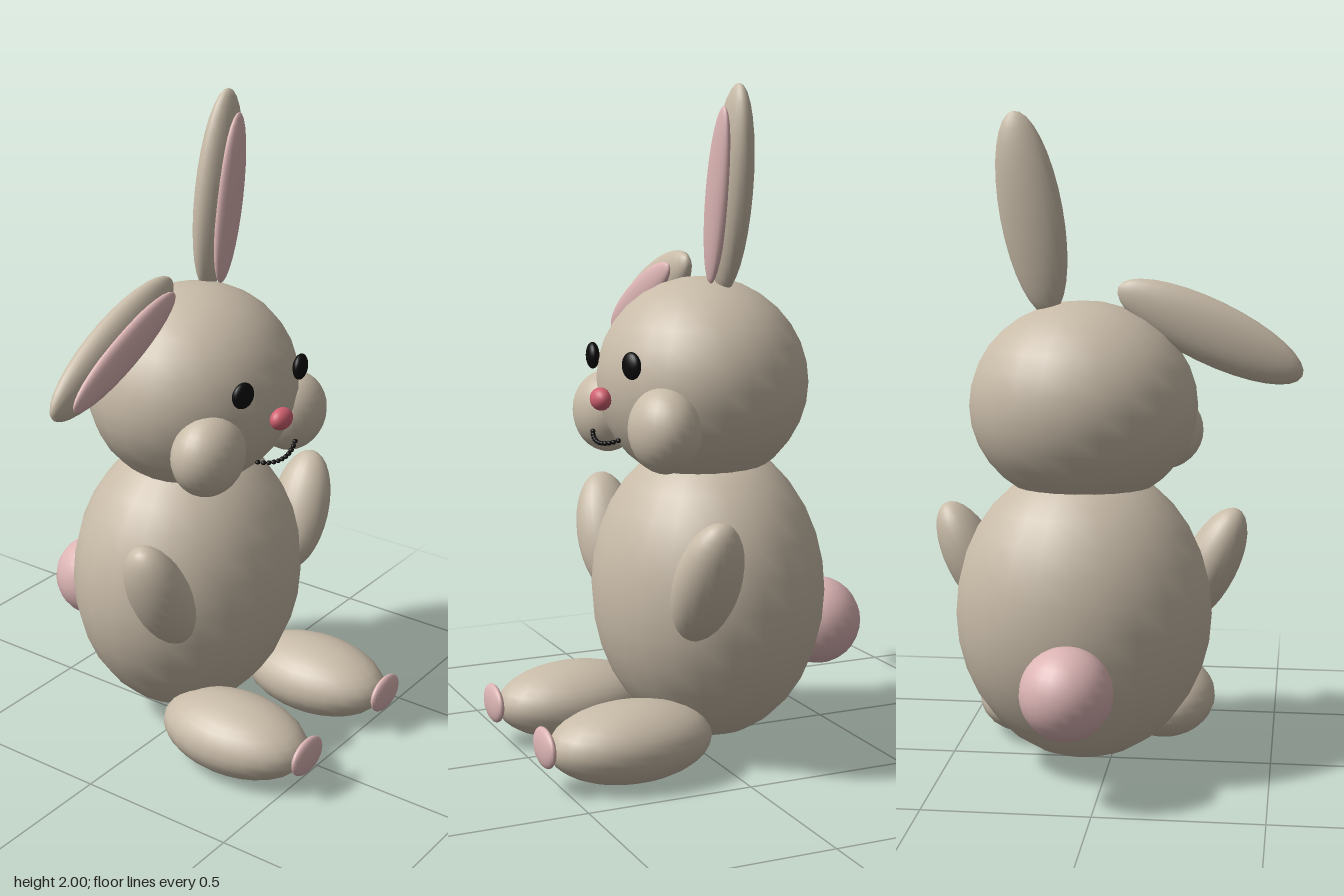
import * as THREE from 'three';

const mat = (name, color) => {
  const m = new THREE.MeshStandardMaterial({ color });
  m.name = name;
  return m;
};

export function createModel() {
  const fur = mat('fur', 0xc8bba8);
  const pink = mat('pink', 0xdcb4b4);
  const red = mat('noseRed', 0xcf6070);
  const black = mat('black', 0x0a0a0a);

  const model = new THREE.Group();
  model.name = 'rabbit';
  const MID = 0.077; // the body's own plane of symmetry
  const sphere = new THREE.SphereGeometry(1, 24, 16);
  const small = new THREE.SphereGeometry(1, 8, 6);

  // Ellipsoid with centre, radii and rotation
  const blob = (name, material, pos, radii, rot = [0, 0, 0], geo = sphere) => {
    const m = new THREE.Mesh(geo, material);
    m.name = name;
    m.position.set(...pos);
    m.scale.set(...radii);
    m.rotation.set(...rot);
    model.add(m);
    return m;
  };

  // Torso, head and tail
  blob('body', fur, [MID, 0.495, -0.057], [0.393, 0.46, 0.348]);
  blob('head', fur, [MID + 0.002, 1.13, -0.037], [0.347, 0.312, 0.312]);
  blob('tail', pink, [MID + 0.002, 0.347, -0.44], [0.137, 0.137, 0.137]);

  // Ears: one upright, one flopped to the side
  const ear = (name, x, y, z, tilt, innerY) => {
    blob(name, fur, [x, y, z], [0.095, 0.304, 0.052], [0, 0, tilt]);
    blob(name + 'Inner', pink, [x, innerY, z + 0.045], [0.06, 0.258, 0.025], [0, 0, tilt]);
  };
  ear('leftEar', 0.23, 1.7, -0.06, -0.175, 1.68);
  ear('rightEar', -0.302, 1.354, -0.042, -1.13, 1.352);

  // Paired parts
  for (const [side, s] of [['left', 1], ['right', -1]]) {
    blob(side + 'Cheek', fur, [MID + s * 0.22, 1.021, 0.18], [0.128, 0.125, 0.102]);
    blob(side + 'Arm', fur, [MID + s * 0.376, 0.604, 0.118], [0.086, 0.2, 0.099], [-0.05, 0, -s * 0.443]);
    blob(side + 'Foot', fur, [MID + s * 0.226, 0.119, 0.292], [0.16, 0.117, 0.25]);
    blob(side + 'ToePad', pink, [MID + s * 0.227, 0.137, 0.556], [0.08, 0.058, 0.02]);
    blob(side + 'Eye', black, [MID + s * 0.151, 1.202, 0.253], [0.04, 0.04, 0.02], [0, s * 0.2, 0]);
  }

  // Nose
  blob('nose', red, [MID, 1.09, 0.288], [0.044, 0.034, 0.03]);

  // Smile made of small beads along a shallow arc
  const beads = 11;
  for (let i = 0; i < beads; i++) {
    const t = (i / (beads - 1)) * 2 - 1;
    blob('mouthBead', black, [MID + t * 0.1, 0.961 + 0.019 * t * t, 0.294 - 0.02 * t * t],
      [0.009, 0.007, 0.008], [0, 0, 0], small);
  }

  return model;
}
